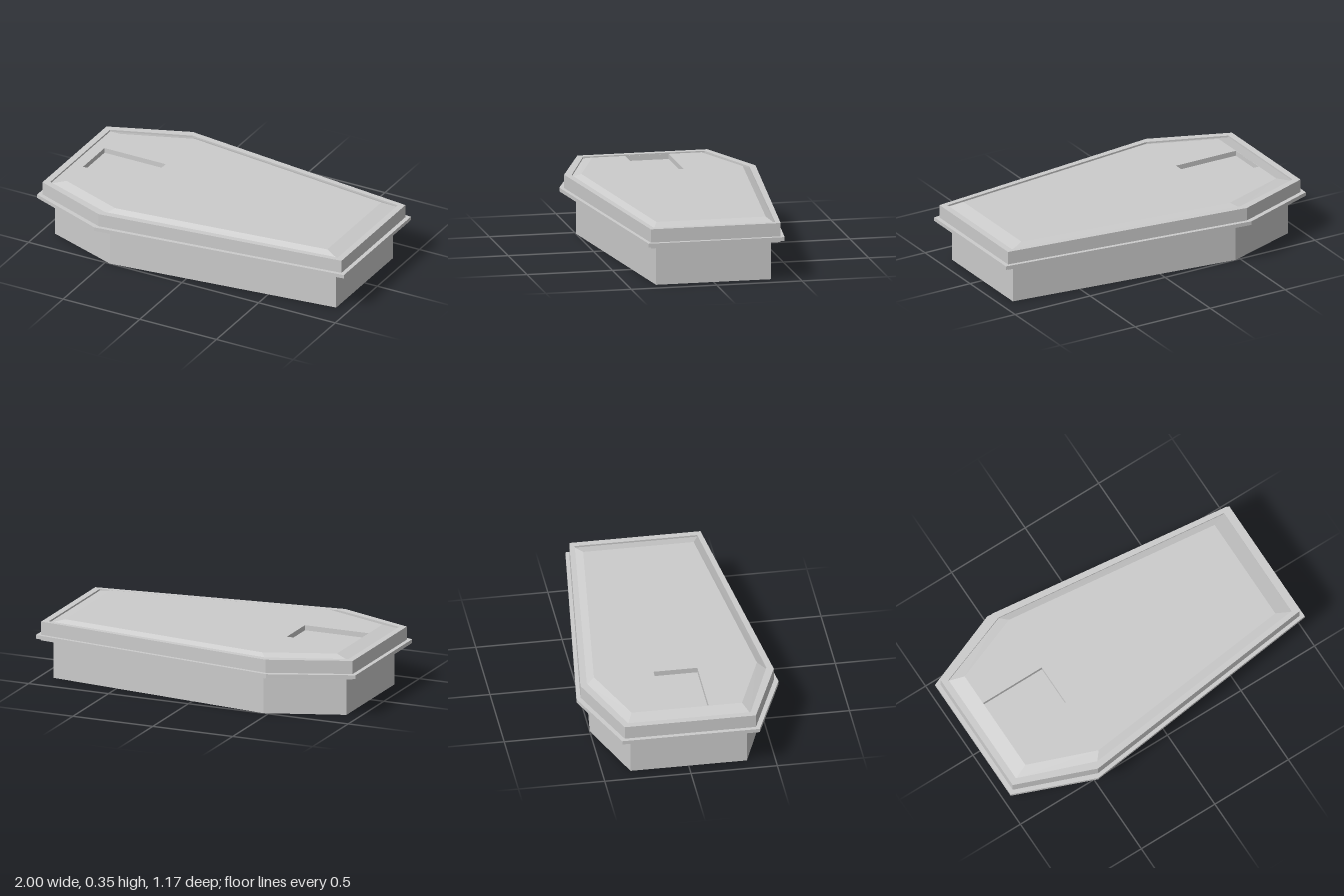
import * as THREE from 'three';

const material = new THREE.MeshStandardMaterial({ color: 0xcccccc, flatShading: true });

// Six-sided outline: end half-length, end half-width, shoulder x, shoulder half-width, height
const hex = (e, ze, sx, sz, y) => [
  [-e, y, ze], [sx, y, sz], [e, y, ze], [e, y, -ze], [sx, y, -sz], [-e, y, -ze],
];
const rect = (x0, x1, z, y) => [[x0, y, z], [x1, y, z], [x1, y, -z], [x0, y, -z]];
const point = (n, x, y) => Array.from({ length: n }, () => [x, y, 0]);

// Skin consecutive rings with flat quads, skipping collapsed triangles
function loft(rings) {
  const pos = [];
  const add = (...tri) => {
    const [a, b, c] = tri.map((p) => new THREE.Vector3(...p));
    if (b.sub(a).cross(c.sub(a)).length() > 1e-9) pos.push(...tri.flat());
  };
  for (let k = 0; k < rings.length - 1; k++) {
    const lo = rings[k], hi = rings[k + 1], n = lo.length;
    for (let i = 0; i < n; i++) {
      const j = (i + 1) % n;
      add(lo[i], lo[j], hi[j]);
      add(lo[i], hi[j], hi[i]);
    }
  }
  const g = new THREE.BufferGeometry();
  g.setAttribute('position', new THREE.Float32BufferAttribute(pos, 3));
  g.computeVertexNormals();
  return g;
}

export function createModel() {
  const group = new THREE.Group();
  const part = (name, geometry) => {
    const mesh = new THREE.Mesh(geometry, material);
    mesh.name = name;
    group.add(mesh);
  };
  const base = (y) => hex(0.917, 0.337, -0.47, 0.5, y);
  const lip = (y) => hex(0.975, 0.38, -0.51, 0.56, y);
  const flange = (y) => hex(1, 0.398, -0.525, 0.585, y);
  const lidEdge = (y) => hex(0.937, 0.355, -0.49, 0.52, y);
  const TOP = 0.353;
  const lidTop = hex(0.85, 0.32, -0.45, 0.472, TOP);

  // Box body with closed floor
  part('body', loft([point(6, 0, 0), base(0), base(0.228)]));

  // Stepped rim: lower lip, projecting flange, upper wall and its inner edge
  part('rim', loft([
    base(0.228), lip(0.228), lip(0.24), flange(0.24), flange(0.262),
    lip(0.262), lip(0.34), lidEdge(0.34), lidEdge(0.33),
  ]));

  // Sloped border of the lid panel
  part('lidBevel', loft([lidEdge(0.33), lidTop]));

  // Flat lid panel with a rectangular opening
  const x0 = -0.853, x1 = -0.45, z = 0.127;
  const toShape = (Type, ring) => new Type(ring.map(([x, , pz]) => new THREE.Vector2(x, -pz)));
  const panel = toShape(THREE.Shape, lidTop);
  // The opening stops just inside the panel edge
  const inner = Math.max(x0, -0.849);
  panel.holes.push(toShape(THREE.Path, rect(inner, x1, z, 0)));
  part('lidPanel', new THREE.ShapeGeometry(panel).rotateX(-Math.PI / 2).translate(0, TOP, 0));

  // Shallow plaque recess: walls and floor
  const floor = TOP - 0.03;
  part('plaqueRecess', loft([
    rect(inner, x1, z, TOP), rect(inner, x1, z, floor), point(4, (inner + x1) / 2, floor),
  ]));
  return group;
}
